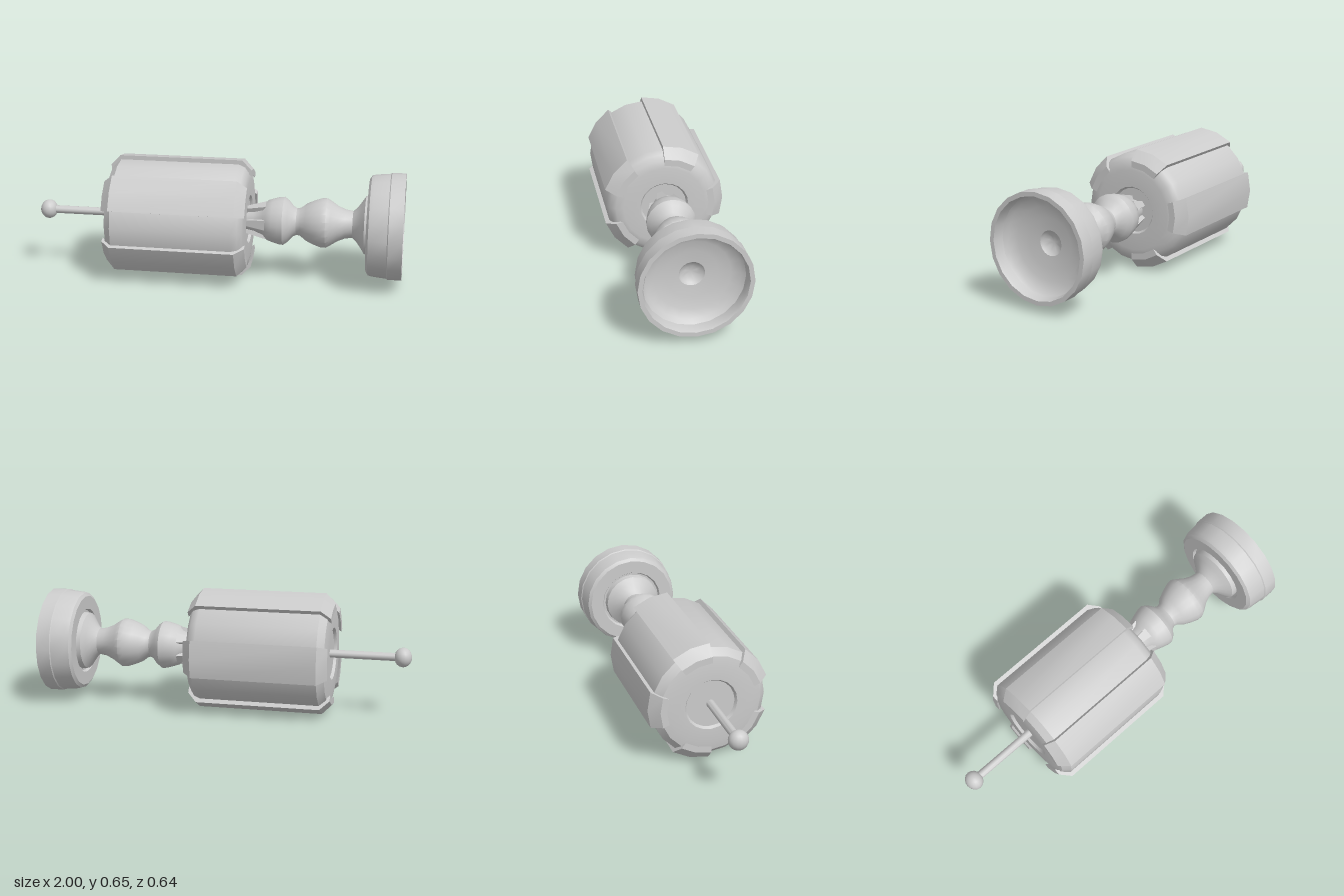
import * as THREE from 'three';
import { toCreasedNormals } from 'three/addons/utils/BufferGeometryUtils.js';

const AXIS_Y = 0.326, AXIS_Z = 0.008;
const mat = new THREE.MeshStandardMaterial({ color: 0xcccccc });

// Turned part along x: profile of [radius, x], listed with x increasing on outer surfaces
function turned(name, profile, sides = 20) {
  const geo = new THREE.LatheGeometry(profile.map(([r, x]) => new THREE.Vector2(r, x)), sides);
  geo.rotateZ(-Math.PI / 2);
  const mesh = new THREE.Mesh(toCreasedNormals(geo, 0.6), mat);
  mesh.name = name;
  return mesh;
}

// Curved plate: a box bent around the drum, with sloped ends
function plateGeometry() {
  const xs = [-0.59, -0.54, 0.13, 0.18];
  const outer = [0.273, 0.326, 0.326, 0.273];
  const geo = new THREE.BoxGeometry(3, 1, 2, 3, 1, 2);
  const p = geo.attributes.position;
  for (let i = 0; i < p.count; i++) {
    const k = Math.round(p.getX(i) + 1.5);
    const r = outer[k] - (p.getY(i) > 0 ? 0 : 0.035);
    const a = p.getZ(i) * Math.PI / 10;
    p.setXYZ(i, xs[k], r * Math.cos(a), r * Math.sin(a));
  }
  return toCreasedNormals(geo, 0.5);
}

// Wedge rib: widens and rises away from the drum
function ribGeometry() {
  const geo = new THREE.BoxGeometry(1, 1, 1);
  const p = geo.attributes.position;
  for (let i = 0; i < p.count; i++) {
    const far = p.getX(i) > 0;
    const r = p.getY(i) > 0 ? (far ? 0.104 : 0.075) : 0.03;
    p.setXYZ(i, far ? 0.265 : 0.15, r, p.getZ(i) * (far ? 0.055 : 0.028));
  }
  return toCreasedNormals(geo, 0.3);
}

function ring(name, geo, count, start) {
  const group = new THREE.Group();
  group.name = name + 's';
  for (let i = 0; i < count; i++) {
    const mesh = new THREE.Mesh(geo, mat);
    mesh.name = name;
    mesh.rotation.x = start + i * Math.PI * 2 / count;
    group.add(mesh);
  }
  return group;
}

export function createModel() {
  const model = new THREE.Group();
  const body = new THREE.Group();
  body.name = 'body';
  body.position.set(0, AXIS_Y, AXIS_Z);
  model.add(body);

  // Drum with shallow recesses in both ends
  body.add(turned('drum', [
    [0, -0.565], [0.13, -0.565], [0.14, -0.58], [0.22, -0.58], [0.268, -0.572], [0.303, -0.535],
    [0.303, 0.11], [0.288, 0.145], [0.26, 0.165], [0.22, 0.172], [0.13, 0.172], [0.12, 0.158], [0, 0.158],
  ]));
  body.add(ring('plate', plateGeometry(), 5, -Math.PI / 2));

  // Rod and knob
  body.add(turned('rod', [[0.022, -0.94], [0.022, -0.56]], 12));
  const knob = new THREE.Mesh(new THREE.SphereGeometry(0.052, 16, 12), mat);
  knob.name = 'knob';
  knob.scale.x = 0.9;
  knob.position.x = -0.953;
  body.add(knob);

  // Neck with two bulges, flaring to a flange
  body.add(turned('neck', [
    [0.055, 0.15], [0.065, 0.2], [0.085, 0.25], [0.108, 0.27], [0.118, 0.3], [0.128, 0.335], [0.13, 0.36],
    [0.112, 0.385], [0.082, 0.41], [0.072, 0.43], [0.076, 0.45], [0.1, 0.48], [0.118, 0.52],
    [0.132, 0.56], [0.133, 0.59], [0.118, 0.615], [0.095, 0.65], [0.078, 0.69], [0.072, 0.73],
    [0.09, 0.75], [0.125, 0.775], [0.155, 0.795], [0.16, 0.83],
  ]));
  body.add(ring('rib', ribGeometry(), 5, Math.PI / 2));

  // Cup: outer wall, rim, then the dished floor with a central dimple
  body.add(turned('cup', [
    [0.15, 0.825], [0.17, 0.825], [0.178, 0.81], [0.25, 0.81], [0.267, 0.822], [0.272, 0.84],
    [0.28, 0.92], [0.285, 0.925], [0.285, 1], [0.262, 1], [0.256, 0.985], [0.254, 0.94],
    [0.235, 0.918], [0.19, 0.9], [0.13, 0.888], [0.065, 0.882], [0.055, 0.87], [0.03, 0.858], [0, 0.853],
  ]));
  return model;
}
